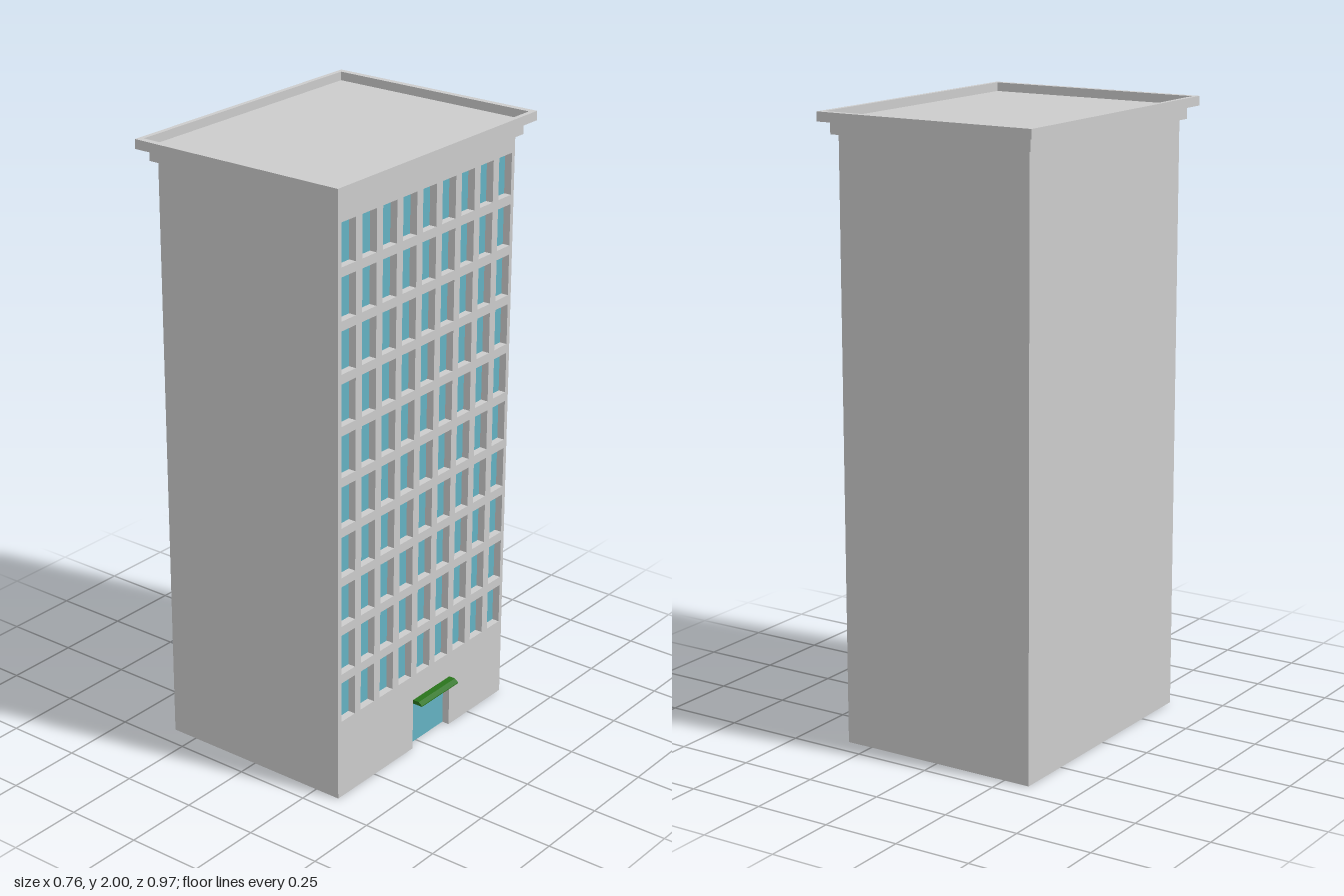
import * as THREE from 'three';

const HALF_X = 0.338, HALF_Z = 0.434, RECESS = 0.027;
const WALL_TOP = 1.93;

export function createModel() {
  const group = new THREE.Group();
  const stone = new THREE.MeshStandardMaterial({ color: 0xcccccc, flatShading: true });
  const glass = new THREE.MeshStandardMaterial({ color: 0x64b2c2, flatShading: true });
  const green = new THREE.MeshStandardMaterial({ color: 0x29731b, flatShading: true });

  const add = (name, geometry, material, x = 0, y = 0, z = 0) => {
    const mesh = new THREE.Mesh(geometry, material);
    mesh.name = name;
    mesh.position.set(x, y, z);
    group.add(mesh);
    return mesh;
  };
  const rect = (target, hx, hy) => target
    .moveTo(-hx, -hy).lineTo(hx, -hy).lineTo(hx, hy).lineTo(-hx, hy).closePath();

  // Building core behind the recessed facade
  const coreWidth = 2 * HALF_X - RECESS;
  add('core', new THREE.BoxGeometry(coreWidth, WALL_TOP, 2 * HALF_Z), stone,
    -RECESS / 2, WALL_TOP / 2, 0);

  // Window grid and doorway, in facade coordinates (u = -z, v = y)
  const win = { w: 0.067, h: 0.134, cols: 9, rows: 10, du: 0.0963, dv: 0.164, v0: 0.333 };
  const door = { u0: -0.05, u1: 0.146, top: 0.168 };
  const centres = [];
  for (let r = 0; r < win.rows; r++)
    for (let c = 0; c < win.cols; c++)
      centres.push([(c - (win.cols - 1) / 2) * win.du, win.v0 + r * win.dv]);

  // Facade slab with window holes and a door notch
  const wall = new THREE.Shape();
  wall.moveTo(-HALF_Z, 0).lineTo(door.u0, 0).lineTo(door.u0, door.top)
    .lineTo(door.u1, door.top).lineTo(door.u1, 0).lineTo(HALF_Z, 0)
    .lineTo(HALF_Z, WALL_TOP).lineTo(-HALF_Z, WALL_TOP).closePath();
  for (const [u, v] of centres) {
    const a = win.w / 2, b = win.h / 2;
    wall.holes.push(new THREE.Path().moveTo(u - a, v - b).lineTo(u - a, v + b)
      .lineTo(u + a, v + b).lineTo(u + a, v - b).closePath());
  }
  const facade = new THREE.ExtrudeGeometry(wall, { depth: RECESS, bevelEnabled: false });
  facade.rotateY(Math.PI / 2);
  add('facade', facade, stone, HALF_X - RECESS);

  // Window panes at the back of each recess
  const paneX = HALF_X - RECESS + 0.002;
  const pane = new THREE.PlaneGeometry(win.w, win.h).rotateY(Math.PI / 2);
  for (const [u, v] of centres) add('windowPane', pane, glass, paneX, v, -u);

  // Double glass door
  const leafWidth = (door.u1 - door.u0) / 2;
  const leaf = new THREE.PlaneGeometry(leafWidth, door.top).rotateY(Math.PI / 2);
  for (const i of [0, 1])
    add('doorLeaf', leaf, glass, paneX, door.top / 2, -(door.u0 + (i + 0.5) * leafWidth));

  // Door canopy with a sloping front edge and a glass underside
  const profile = new THREE.Shape();
  profile.moveTo(0, 0.165).lineTo(0.035, 0.165).lineTo(0.035, 0.168)
    .lineTo(0.022, 0.178).lineTo(0, 0.178).closePath();
  const canopy = new THREE.ExtrudeGeometry(profile, { depth: 2 * leafWidth, bevelEnabled: false });
  add('canopy', canopy, green, HALF_X, 0, -door.u1);
  const soffit = new THREE.PlaneGeometry(0.035, 2 * leafWidth).rotateX(Math.PI / 2);
  add('canopySoffit', soffit, glass, HALF_X + 0.0175, 0.164, -(door.u0 + leafWidth));

  // Stepped cornice
  add('lowerCornice', new THREE.BoxGeometry(0.708, 0.04, 0.908), stone, 0, 1.95, 0);

  // Parapet ring around the sunken roof
  const ring = rect(new THREE.Shape(), 0.379, 0.487);
  ring.holes.push(rect(new THREE.Path(), 0.363, 0.466));
  const parapet = new THREE.ExtrudeGeometry(ring, { depth: 0.03, bevelEnabled: false });
  parapet.rotateX(-Math.PI / 2);
  add('parapet', parapet, stone, 0, 1.97, 0);
  add('roof', new THREE.BoxGeometry(0.726, 0.002, 0.932), stone, 0, 1.971, 0);

  return group;
}
